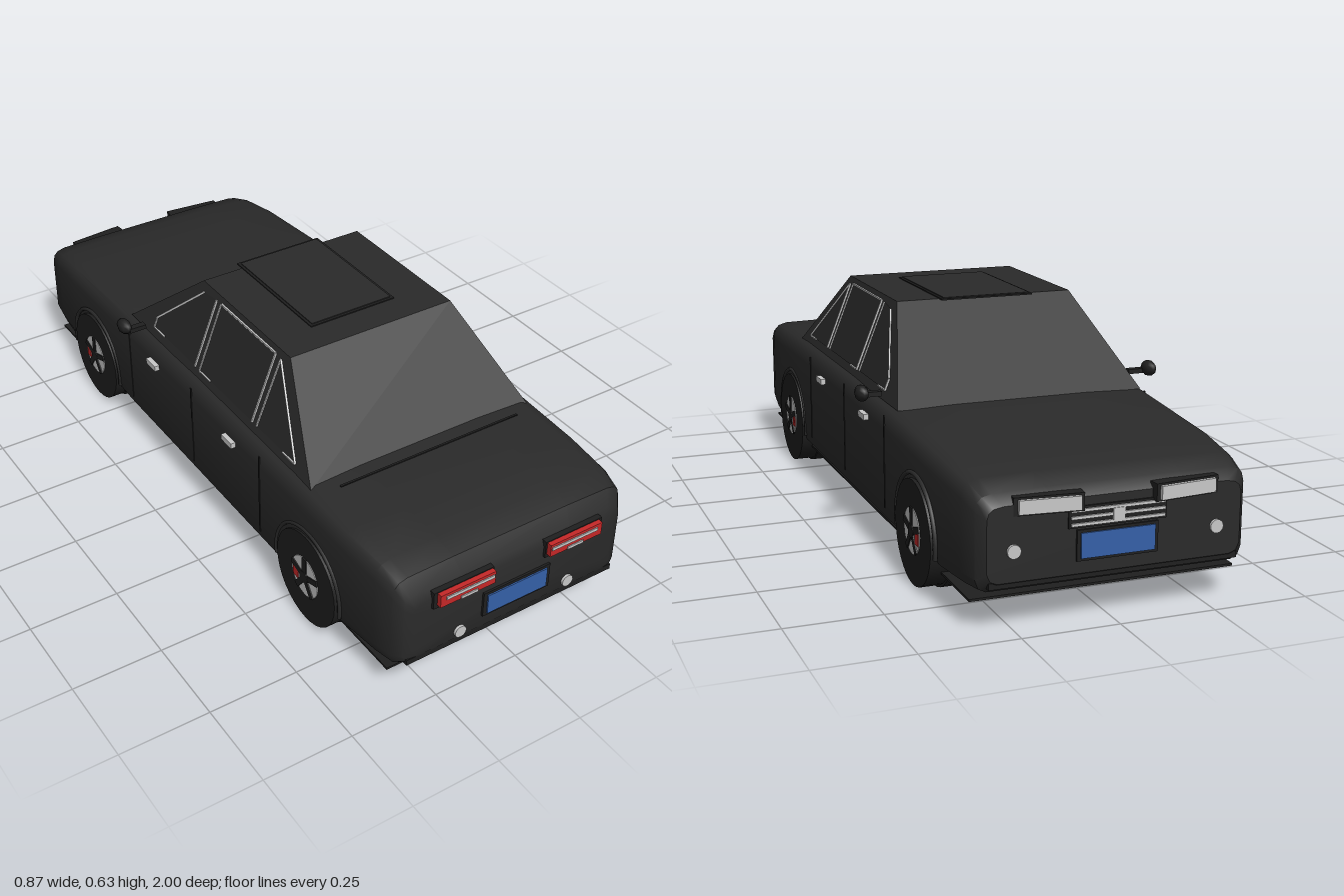
import * as THREE from 'three';
import { toCreasedNormals } from 'three/addons/utils/BufferGeometryUtils.js';

const mat = (name, color) => Object.assign(new THREE.MeshStandardMaterial({ color }), { name });

export function createModel() {
  const car = new THREE.Group();
  car.name = 'car';
  const paint = mat('black paint', 0x2a2a2a);
  const rubber = mat('dark rubber', 0x1f1f1f);
  const glass = mat('dark glass', 0x272727);
  const silver = mat('silver trim', 0xc8c8c8);
  const red = mat('red lens', 0xc62828);
  const blue = mat('blue plate', 0x3560a8);

  const add = (name, geo, material, x = 0, y = 0, z = 0) => {
    const m = new THREE.Mesh(geo, material);
    m.name = name;
    m.position.set(x, y, z);
    car.add(m);
    return m;
  };
  const box = (name, material, w, h, d, x, y, z) =>
    add(name, new THREE.BoxGeometry(w, h, d), material, x, y, z);
  // cylinder lying along x (axis 'x') or z (axis 'z')
  const disc = (name, material, r, len, x, y, z, axis = 'x', seg = 32) => {
    const g = new THREE.CylinderGeometry(r, r, len, seg);
    if (axis === 'x') g.rotateZ(Math.PI / 2); else g.rotateX(Math.PI / 2);
    return add(name, g, material, x, y, z);
  };

  // lower body: one rounded section lofted along z [z, bottom, top, halfWidth]
  const stations = [
    [0.975, 0.14, 0.31, 0.31], [0.965, 0.12, 0.335, 0.335], [0.94, 0.105, 0.375, 0.352],
    [0.88, 0.1, 0.393, 0.362], [0.75, 0.09, 0.402, 0.37], [0.5, 0.09, 0.41, 0.373],
    [0, 0.09, 0.41, 0.373], [-0.38, 0.09, 0.402, 0.373], [-0.75, 0.095, 0.376, 0.366],
    [-0.88, 0.1, 0.36, 0.355], [-0.945, 0.105, 0.34, 0.345], [-0.97, 0.13, 0.315, 0.325],
  ];
  const half = [[0.92, 0], [0.975, 0.04], [1, 0.14], [1, 0.83], [0.985, 0.92], [0.95, 0.97], [0.88, 0.995], [0.5, 1.005]];
  const ring = [...half, ...half.map(([x, y]) => [-x, y]).reverse()];
  const n = ring.length, pos = [], idx = [];
  for (const [z, b, t, w] of stations) for (const [x, y] of ring) pos.push(x * w, b + y * (t - b), z);
  for (let i = 0; i < stations.length - 1; i++) for (let j = 0; j < n; j++) {
    const a = i * n + j, b = i * n + (j + 1) % n;
    idx.push(a, a + n, b, b, a + n, b + n);
  }
  const last = (stations.length - 1) * n, c = stations.length * n;
  pos.push(0, 0.22, 0.975, 0, 0.22, -0.97);
  for (let j = 0; j < n; j++) {
    const k = (j + 1) % n;
    idx.push(c, j, k, c + 1, last + k, last + j);
  }
  const loft = new THREE.BufferGeometry();
  loft.setAttribute('position', new THREE.Float32BufferAttribute(pos, 3));
  loft.setIndex(idx);
  add('body', toCreasedNormals(loft, 0.6), paint);

  // cabin: a box tapered to the roof
  const cabin = new THREE.BoxGeometry(1, 1, 1);
  const p = cabin.attributes.position;
  for (let i = 0; i < p.count; i++) {
    const top = p.getY(i) > 0, back = p.getZ(i) > 0;
    p.setXYZ(i, Math.sign(p.getX(i)) * (top ? 0.253 : 0.345), top ? 0.63 : 0.4,
      top ? (back ? 0.335 : -0.11) : (back ? 0.575 : -0.39));
  }
  cabin.computeVertexNormals();
  add('cabin', cabin, paint);
  box('sunroofSeal', rubber, 0.265, 0.004, 0.38, 0, 0.631, 0.055);
  box('sunroof', paint, 0.25, 0.007, 0.365, 0, 0.632, 0.055);
  box('trunkSeam', rubber, 0.56, 0.003, 0.006, 0, 0.411, 0.61);

  // side windows: panes and thin trim lying on the slanted cabin wall
  const wallX = (y) => 0.345 - (y - 0.4) * 0.4;
  const panes = [
    { pts: [[0.49, 0.425], [0.305, 0.612], [0.302, 0.425]], edges: [[0, 1], [1, 2]] },
    { pts: [[0.278, 0.425], [0.278, 0.615], [0, 0.615], [0, 0.425]], edges: [[0, 1], [1, 2], [2, 3]] },
    { pts: [[-0.025, 0.425], [-0.025, 0.615], [-0.09, 0.607], [-0.26, 0.455], [-0.26, 0.425]], edges: [[0, 1], [2, 3], [3, 4]] },
  ];
  for (const s of [1, -1]) for (const { pts, edges } of panes) {
    const at = ([z, y], off) => new THREE.Vector3(s * (wallX(y) + off), y, z);
    const g = new THREE.BufferGeometry().setFromPoints(pts.map((q) => at(q, 0.002)));
    const f = [];
    for (let i = 1; i < pts.length - 1; i++) f.push(...(s > 0 ? [0, i + 1, i] : [0, i, i + 1]));
    // panes run clockwise as seen from the left side, so the order is flipped per side
    const v = pts.map((q) => at(q, 0));
    const outward = new THREE.Vector3().crossVectors(v[f[1]].clone().sub(v[f[0]]), v[f[2]].clone().sub(v[f[0]])).x * s > 0;
    g.setIndex(outward ? f : f.reverse());
    g.computeVertexNormals();
    add('sideWindow', g, glass);
    for (const [i, j] of edges) {
      const a = at(pts[i], 0.003), b = at(pts[j], 0.003);
      const t = add('windowTrim', new THREE.BoxGeometry(0.005, 0.005, a.distanceTo(b)), silver);
      t.position.copy(a).lerp(b, 0.5);
      t.lookAt(b);
    }
    const sill = box('windowTrim', silver, 0.005, 0.004, 0.06, 0, 0, 0);
    sill.position.copy(at([pts[0][0] > 0.4 ? 0.46 : pts[0][0] > 0 ? 0.03 : -0.23, 0.425], 0.003));
  }

  for (const s of [1, -1]) {
    // mirrors
    box('mirrorArm', rubber, 0.05, 0.013, 0.02, s * 0.382, 0.425, -0.285);
    const shell = add('mirrorShell', new THREE.SphereGeometry(1, 8, 6), rubber, s * 0.414, 0.433, -0.3);
    shell.scale.set(0.019, 0.022, 0.03);
    // door handles and seams
    for (const z of [0.225, -0.2]) box('doorHandle', silver, 0.014, 0.016, 0.052, s * 0.381, 0.347, z);
    for (const z of [0.37, 0.01, -0.36]) box('doorSeam', rubber, 0.003, 0.25, 0.005, s * 0.373, 0.26, z);

    // tail lights
    box('tailLightHousing', rubber, 0.18, 0.05, 0.035, s * 0.171, 0.305, 0.965);
    box('tailLight', red, 0.165, 0.037, 0.03, s * 0.168, 0.309, 0.981);
    box('tailLightStripe', silver, 0.145, 0.009, 0.004, s * 0.162, 0.315, 0.997);
    box('reverseLight', silver, 0.05, 0.008, 0.004, s * 0.165, 0.296, 0.997);
    disc('rearLamp', silver, 0.017, 0.012, s * 0.17, 0.16, 0.976, 'z', 16);

    // headlights
    const housing = box('headlightHousing', rubber, 0.17, 0.044, 0.03, s * 0.175, 0.31, -0.965);
    const lamp = box('headlight', silver, 0.15, 0.034, 0.03, s * 0.175, 0.31, -0.974);
    housing.rotation.y = lamp.rotation.y = -s * 0.1;
    disc('frontLamp', silver, 0.017, 0.012, s * 0.26, 0.205, -0.971, 'z', 16);
  }

  // rear bumper, plates and grille
  box('rearBumperLip', rubber, 0.65, 0.016, 0.03, 0, 0.128, 0.957);
  box('rearPlateFrame', rubber, 0.208, 0.074, 0.008, 0, 0.213, 0.977);
  box('rearPlate', blue, 0.186, 0.058, 0.008, 0, 0.213, 0.981);
  box('frontBumperLip', rubber, 0.64, 0.016, 0.03, 0, 0.125, -0.953);
  box('frontPlateFrame', rubber, 0.208, 0.076, 0.008, 0, 0.2, -0.972);
  box('frontPlate', blue, 0.19, 0.062, 0.008, 0, 0.2, -0.976);
  box('grille', rubber, 0.25, 0.052, 0.01, 0, 0.269, -0.97);
  for (let i = 0; i < 3; i++) box('grilleBar', silver, 0.24, 0.007, 0.006, 0, 0.252 + i * 0.017, -0.977);
  box('grilleCentre', silver, 0.03, 0.03, 0.008, 0, 0.269, -0.978);

  // underside tray
  box('underTray', rubber, 0.69, 0.006, 1.83, 0, 0.075, 0.005);

  // axle-wide wheels with rims on both ends
  const wy = 0.145;
  for (const z of [0.6, -0.6]) {
    disc('wheelCore', rubber, 0.142, 0.65, 0, wy, z);
    disc('tyre', rubber, 0.136, 0.756, 0, wy, z);
    for (const s of [1, -1]) {
      const arch = add('wheelArch', new THREE.TorusGeometry(0.15, 0.006, 6, 32, Math.PI * 1.1), paint, s * 0.371, wy, z);
      arch.rotation.set(0, Math.PI / 2, 0);
      arch.geometry.rotateZ(-Math.PI * 0.05);
      disc('brakeDisc', silver, 0.06, 0.004, s * 0.378, wy + 0.005, z);
      box('brakeCaliper', red, 0.005, 0.03, 0.022, s * 0.3795, wy - 0.005, z - 0.04);
      for (let i = 0; i < 5; i++) {
        const a = (i / 5) * Math.PI * 2 + Math.PI / 2;
        const spoke = box('spoke', rubber, 0.004, 0.055, 0.017, s * 0.381,
          wy + 0.005 + Math.sin(a) * 0.034, z + Math.cos(a) * 0.034);
        spoke.rotation.x = Math.PI / 2 - a;
      }
      disc('hub', rubber, 0.018, 0.006, s * 0.381, wy + 0.005, z, 'x', 16);
    }
  }
  return car;
}
